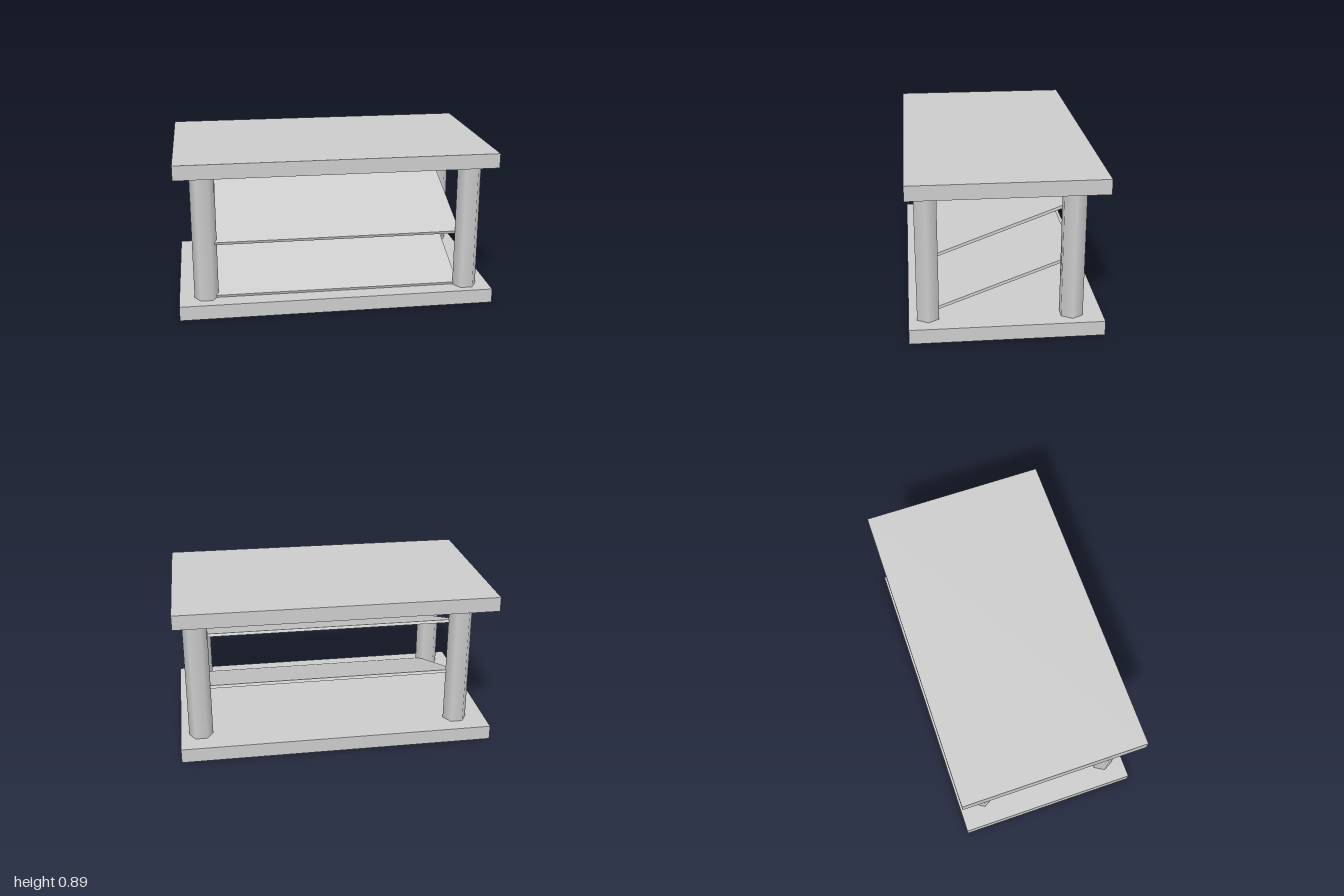
import * as THREE from 'three';

export function createModel() {
  const root = new THREE.Group();
  root.name = 'shelfTable';
  const mat = new THREE.MeshStandardMaterial({ color: 0xcccccc });
  const turn = -THREE.MathUtils.degToRad(16.5);

  const add = (name, geometry, x, y, z, parent = root) => {
    const mesh = new THREE.Mesh(geometry, mat);
    mesh.name = name;
    mesh.position.set(x, y, z);
    parent.add(mesh);
    return mesh;
  };

  // Flat slabs and sloping shelves share the turned frame
  const frame = new THREE.Group();
  frame.name = 'slabsAndShelves';
  frame.rotation.y = turn;
  root.add(frame);

  const slab = new THREE.BoxGeometry(1.778, 0.082, 1.043);
  add('baseSlab', slab, 0, 0.041, 0, frame);
  add('topSlab', slab, 0, 0.845, 0, frame);

  // Thin shelves rising towards the back
  const shelf = new THREE.BoxGeometry(1.408, 0.017, 0.85);
  [['lowerShelf', 0.2375], ['upperShelf', 0.5525]].forEach(([name, y]) => {
    add(name, shelf, 0.004, y, 0.021, frame).rotation.x = THREE.MathUtils.degToRad(20.5);
  });

  // Six-sided posts with smooth shading
  const post = new THREE.CylinderGeometry(0.068, 0.068, 0.724, 6);
  [
    ['frontLeftPost', 0.6, 0.613],
    ['frontRightPost', -0.82, 0.172],
    ['backLeftPost', 0.842, -0.12],
    ['backRightPost', -0.578, -0.56],
  ].forEach(([name, x, z]) => {
    add(name, post, x, 0.443, z).rotation.y = turn + Math.PI / 6;
  });

  return root;
}
